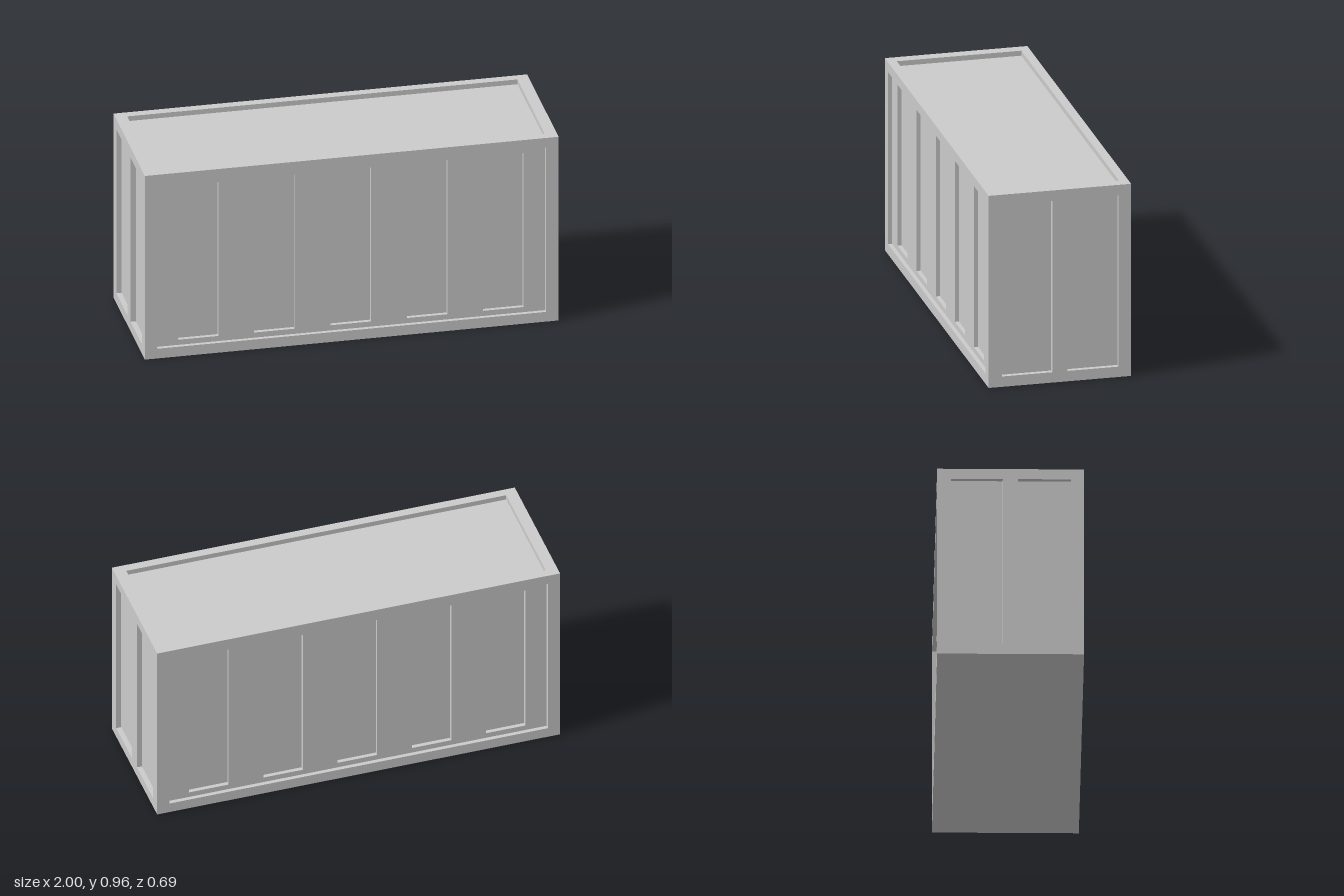
import * as THREE from 'three';

const material = new THREE.MeshStandardMaterial({ color: 0xcccccc, flatShading: true });
const L = 1, H = 0.963, D = 0.347; // half length, height, half depth

// Rectangle { x0, y0, x1, y1 }, optionally sunk by depth and holding its own recesses
const rect = (x0, y0, x1, y1, depth = 0, recesses = []) => ({ x0, y0, x1, y1, depth, recesses });

const corners = (r) => [[r.x0, r.y0], [r.x1, r.y0], [r.x1, r.y1], [r.x0, r.y1]]
  .map(([x, y]) => new THREE.Vector2(x, y));

// Four walls facing into a recess
function wallGeometry(r, z) {
  const pts = corners(r), zl = z - r.depth, pos = [];
  pts.forEach((p, i) => {
    const q = pts[(i + 1) % 4];
    pos.push(p.x, p.y, z, q.x, q.y, z, q.x, q.y, zl);
    pos.push(p.x, p.y, z, q.x, q.y, zl, p.x, p.y, zl);
  });
  const g = new THREE.BufferGeometry();
  g.setAttribute('position', new THREE.Float32BufferAttribute(pos, 3));
  g.computeVertexNormals();
  return g;
}

// A flat sheet facing +z with stepped recesses cut into it
function addPanel(group, name, r, z = 0) {
  const shape = new THREE.Shape(corners(r));
  for (const h of r.recesses) shape.holes.push(new THREE.Path(corners(h).reverse()));
  const sheet = new THREE.Mesh(new THREE.ShapeGeometry(shape).translate(0, 0, z), material);
  sheet.name = name;
  group.add(sheet);
  r.recesses.forEach((h) => {
    const walls = new THREE.Mesh(wallGeometry(h, z), material);
    walls.name = name + 'RecessWalls';
    group.add(walls);
    addPanel(group, name + 'Recess', h, z - h.depth);
  });
}

function face(name, r) {
  const group = new THREE.Group();
  group.name = name;
  addPanel(group, name + 'Sheet', r);
  return group;
}

export function createModel() {
  const model = new THREE.Group();
  model.name = 'container';

  // Long sides: a shallow framed field with five deeper upright panels
  const uprights = [-0.737, -0.369, 0, 0.369, 0.737]
    .map((x) => rect(x - 0.098, 0.078, x + 0.098, 0.886, 0.02));
  const field = rect(-0.94, 0.051, 0.94, 0.914, 0.02, uprights);
  const longSide = rect(-L, 0, L, H, 0, [field]);

  // Ends: two door panels (local x runs along -z on the right end)
  const doors = [rect(-0.281, 0.052, -0.037, 0.911, 0.025), rect(0.036, 0.052, 0.286, 0.911, 0.025)];
  const end = rect(-D, 0, D, H, 0, doors);

  for (const turn of [0, 1]) {
    const side = face(turn ? 'backSide' : 'frontSide', longSide);
    side.rotation.y = turn * Math.PI;
    side.position.z = turn ? -D : D;
    const cap = face(turn ? 'rightEnd' : 'leftEnd', end);
    cap.rotation.y = turn ? -Math.PI / 2 : Math.PI / 2;
    cap.position.x = turn ? -L : L;
    model.add(side, cap);
  }

  // Roof with one sunken field
  const roof = face('roof', rect(-L, -D, L, D, 0, [rect(-0.943, -0.303, 0.943, 0.303, 0.025)]));
  roof.rotation.x = -Math.PI / 2;
  roof.position.y = H;

  // Plain underside
  const floor = face('floor', rect(-L, -D, L, D));
  floor.rotation.x = Math.PI / 2;
  model.add(roof, floor);

  return model;
}
